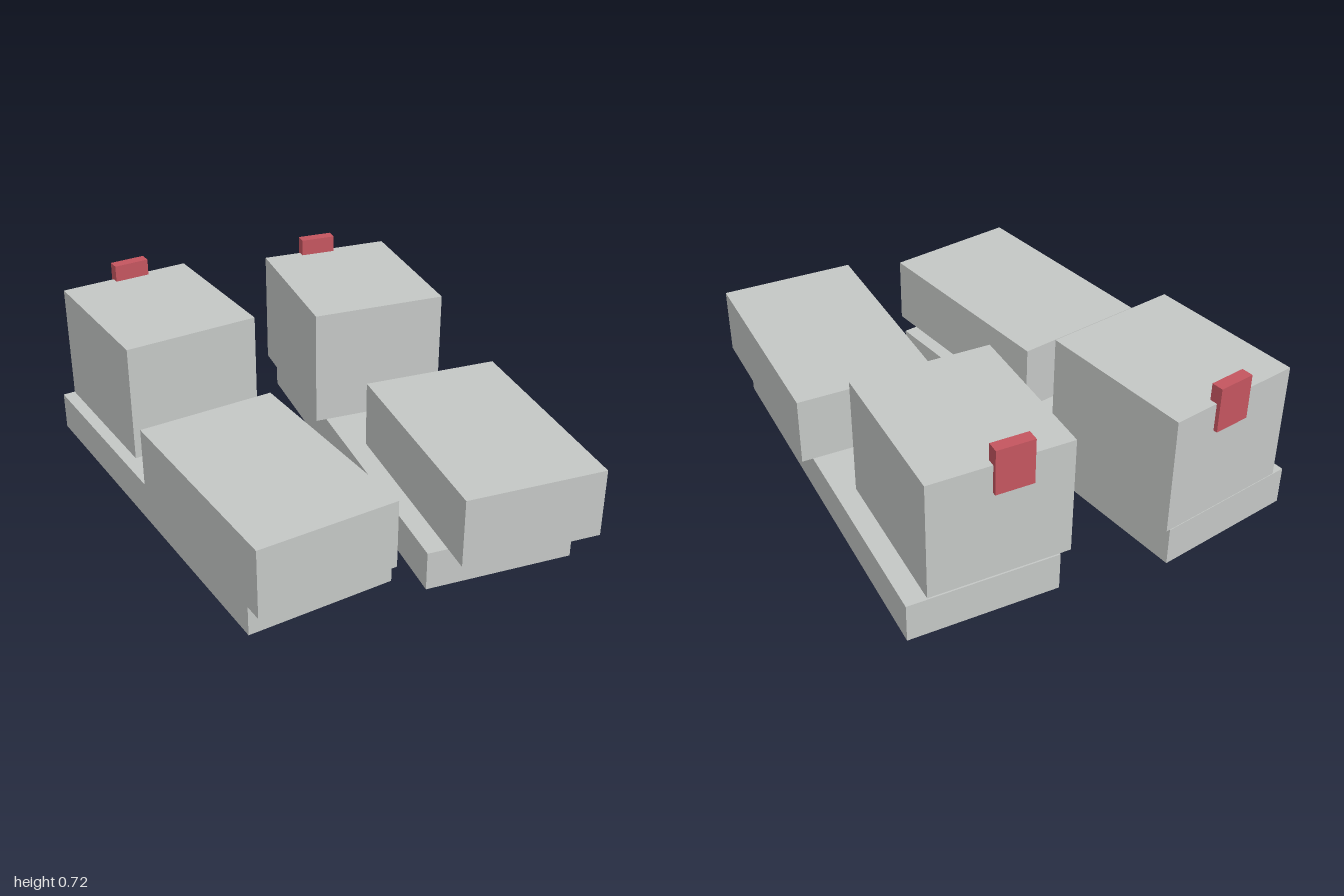
import * as THREE from 'three';

const grey = new THREE.MeshStandardMaterial({ color: 0xc4c7c5 });
grey.name = 'lightGrey';
const red = new THREE.MeshStandardMaterial({ color: 0xc4555f });
red.name = 'red';

// Box turned about y, given its centre on the ground plane and its bottom and top heights
function block(name, [x, z], width, length, bottom, top, turn, material) {
  const mesh = new THREE.Mesh(new THREE.BoxGeometry(width, top - bottom, length), material);
  mesh.name = name;
  mesh.position.set(x, (bottom + top) / 2, z);
  mesh.rotation.y = turn;
  return mesh;
}

// One blocky shoe: sole, toe box, heel box and pull tab
function shoe(name, { turn, sole, toe, heel, tab }) {
  const group = new THREE.Group();
  group.name = name;
  group.add(
    block('sole', sole, 0.6, 1.7, 0, 0.16, turn, grey),
    block('toeBox', toe, 0.563, 0.908, 0.16, 0.44, turn, grey),
    block('heelBox', heel, 0.563, 0.655, 0.16, 0.65, turn, grey),
    block('heelTab', tab, 0.15, 0.048, 0.535, 0.72, turn, red),
  );
  return group;
}

export function createModel() {
  const model = new THREE.Group();
  model.name = 'pairOfShoes';
  model.add(
    shoe('rightShoe', {
      turn: 0.067, sole: [-0.445, -0.13], toe: [-0.45, 0.383],
      heel: [-0.447, -0.651], tab: [-0.447, -0.972],
    }),
    shoe('leftShoe', {
      turn: -0.123, sole: [0.4, -0.005], toe: [0.4, 0.51],
      heel: [0.4, -0.525], tab: [0.398, -0.848],
    }),
  );
  return model;
}
